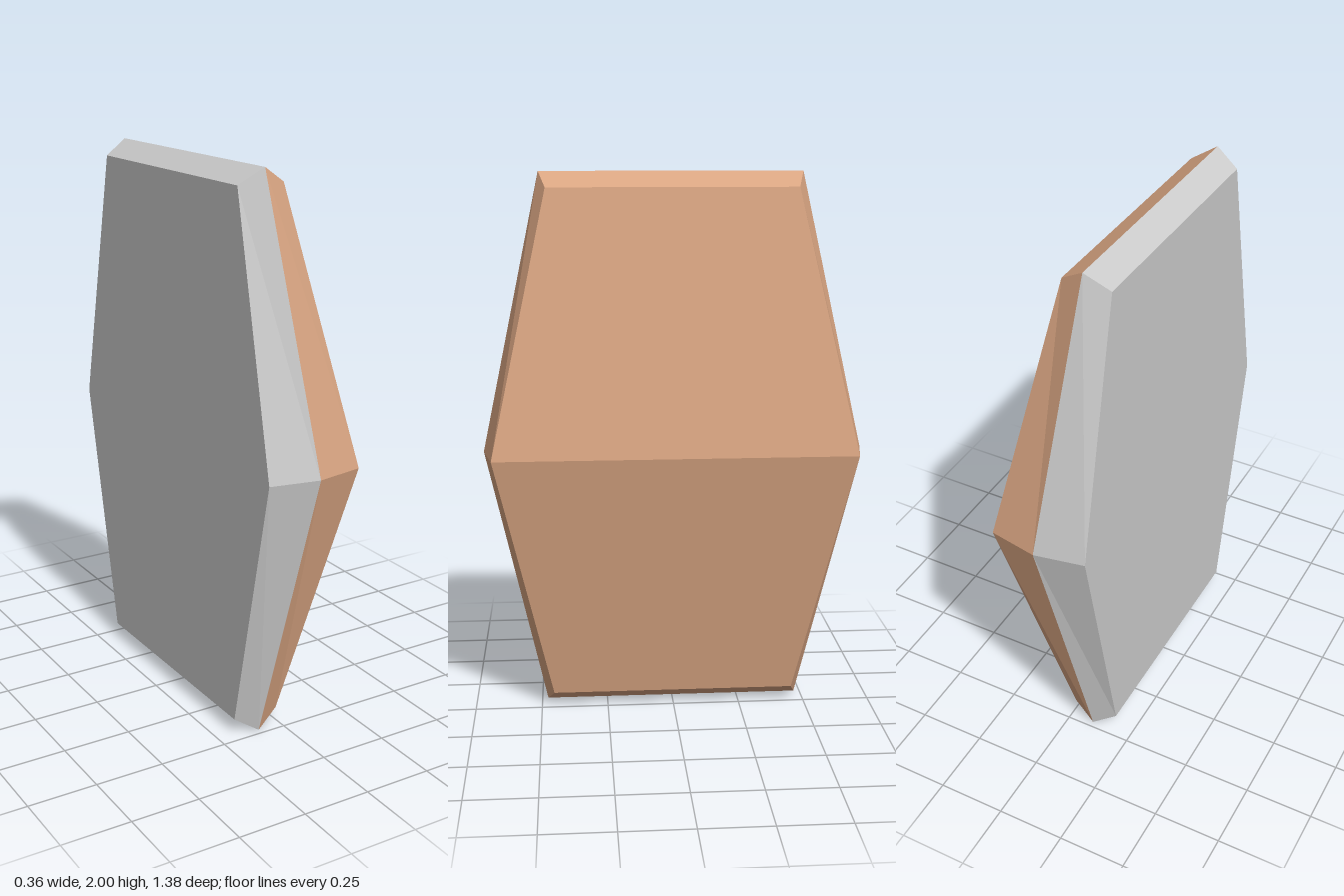
import * as THREE from 'three';

// Hexagon in the yz plane, bent in x at mid height, counter-clockwise seen from +x
function ring(xEnd, xMid, halfH, zEnd, zMid) {
  return [
    [xMid, 1, -zMid], [xEnd, 1 + halfH, -zEnd], [xEnd, 1 + halfH, zEnd],
    [xMid, 1, zMid], [xEnd, 1 - halfH, zEnd], [xEnd, 1 - halfH, -zEnd],
  ];
}

// Flat-faced surface from a list of quads
function faceted(name, quads, color) {
  const positions = quads.flatMap(([a, b, c, d]) => [a, b, c, a, c, d].flat());
  const geometry = new THREE.BufferGeometry();
  geometry.setAttribute('position', new THREE.Float32BufferAttribute(positions, 3));
  geometry.computeVertexNormals();
  const material = new THREE.MeshStandardMaterial({ color, flatShading: true });
  const mesh = new THREE.Mesh(geometry, material);
  mesh.name = name;
  return mesh;
}

// Bevel band from one ring to the next one along +x
const band = (p, q) => p.map((a, i) => {
  const j = (i + 1) % p.length;
  return [a, p[j], q[j], q[i]];
});

// Two panels meeting along the mid-height crease
const cap = (r) => [[r[0], r[1], r[2], r[3]], [r[3], r[4], r[5], r[0]]];

export function createModel() {
  const group = new THREE.Group();
  group.name = 'hexagonalShield';

  const backRing = ring(-0.18, -0.18, 0.945, 0.453, 0.658);
  const rim = ring(-0.093, 0, 1, 0.478, 0.692);
  const faceRing = ring(-0.005, 0.178, 0.945, 0.453, 0.658);

  // Creased coloured face with its bevel
  group.add(faceted('shieldFace', [...band(rim, faceRing), ...cap(faceRing)], 0xd9a582));

  // Flat grey backing with its bevel
  const backPanels = cap(backRing).map((quad) => quad.reverse());
  group.add(faceted('shieldBacking', [...band(backRing, rim), ...backPanels], 0xcccccc));

  return group;
}
